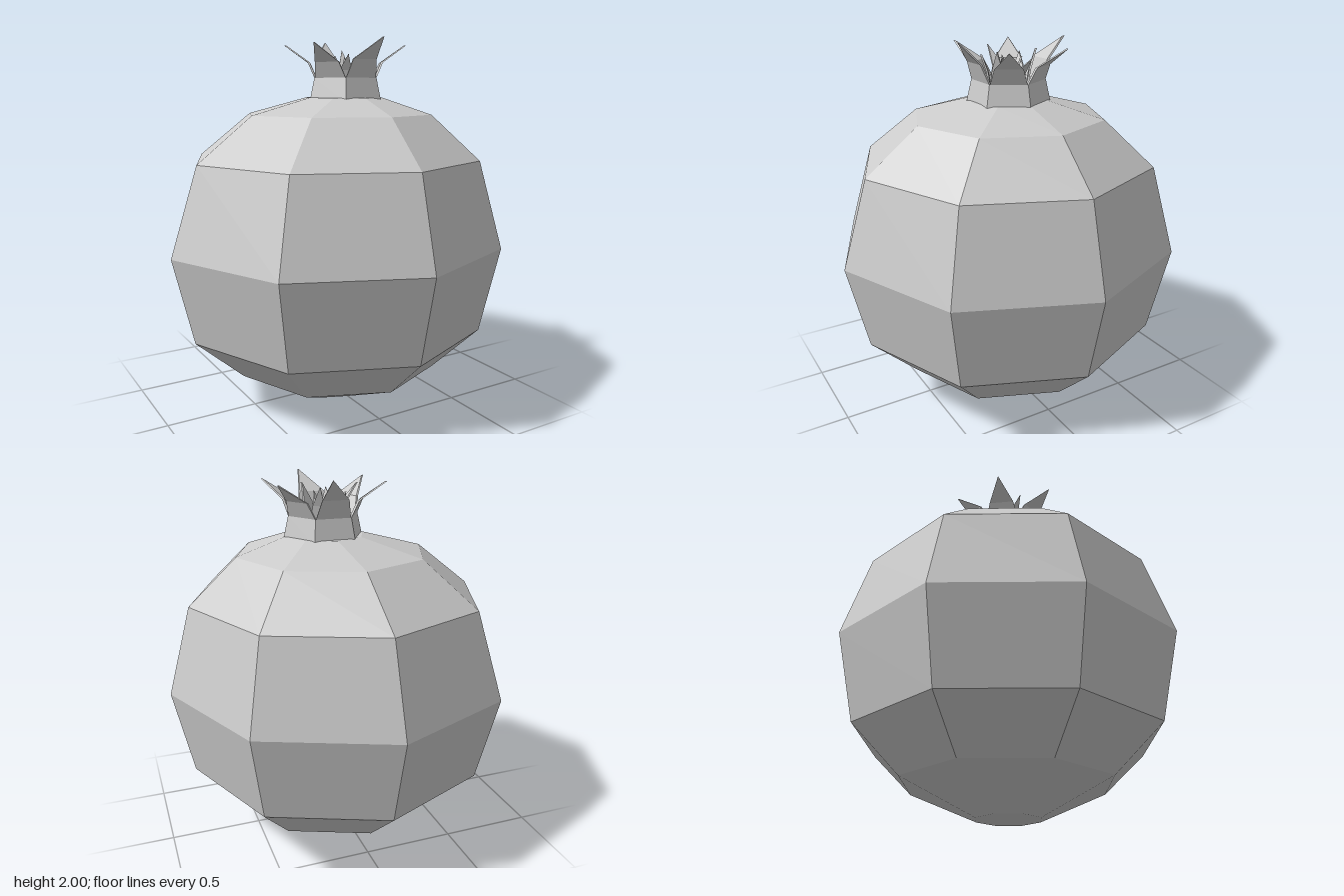
import * as THREE from 'three';

const material = new THREE.MeshStandardMaterial({ color: 0xcccccc, flatShading: true, side: THREE.DoubleSide });

function makeMesh(name, points, faces) {
  const indexed = new THREE.BufferGeometry();
  indexed.setAttribute('position', new THREE.Float32BufferAttribute(points.flat(), 3));
  indexed.setIndex(faces.flat());
  const geometry = indexed.toNonIndexed();
  geometry.computeVertexNormals();
  const mesh = new THREE.Mesh(geometry, material);
  mesh.name = name;
  return mesh;
}

// Skin horizontal rings [y, radius, centreX, centreZ], listed upward; both ends are closed on request
function loft(name, rings, sides, capBottom, capTop) {
  const points = [], faces = [];
  for (const [y, r, cx, cz] of rings) {
    for (let i = 0; i < sides; i++) {
      const a = (i / sides) * Math.PI * 2;
      points.push([cx + r * Math.cos(a), y, cz + r * Math.sin(a)]);
    }
  }
  for (let k = 0; k < rings.length - 1; k++) {
    for (let i = 0; i < sides; i++) {
      const j = (i + 1) % sides, lo = k * sides, hi = lo + sides;
      faces.push([lo + i, hi + i, hi + j], [lo + i, hi + j, lo + j]);
    }
  }
  const top = (rings.length - 1) * sides;
  for (let i = 1; i < sides - 1; i++) {
    if (capBottom) faces.push([0, i, i + 1]);
    if (capTop) faces.push([top, top + i + 1, top + i]);
  }
  return makeMesh(name, points, faces);
}

// Thin pointed leaf facing +z: wide base, shoulders, then a tip that leans outward
function leaf(name, { width, shoulder, base, mid, tip, height, skew, thick }) {
  const outline = [
    [-width, 0, base], [width, 0, base],
    [shoulder, height * 0.48, mid], [skew, height, tip], [-shoulder, height * 0.48, mid],
  ];
  const inner = outline.map(([x, y, z]) => [x * 0.96, y, z - thick]);
  const faces = [[0, 1, 2], [0, 2, 4], [4, 2, 3], [5, 7, 6], [5, 9, 7], [9, 8, 7]];
  for (let i = 0; i < 5; i++) {
    const j = (i + 1) % 5;
    faces.push([i, i + 5, j + 5], [i, j + 5, j]);
  }
  return makeMesh(name, [...outline, ...inner], faces);
}

export function createModel() {
  const model = new THREE.Group();
  model.name = 'pomegranate';

  // Eight-sided fruit, its top drifting slightly to the side
  model.add(loft('fruitBody', [
    [0, 0.18, 0, 0],
    [0.18, 0.58, 0.018, 0],
    [0.42, 0.837, 0.005, 0],
    [0.89, 0.943, 0, 0],
    [1.36, 0.803, 0.012, 0],
    [1.6, 0.52, 0.037, 0],
    [1.69, 0.215, 0.07, 0.01],
  ], 8, true, true));

  // Six-sided neck with a recessed floor
  const crown = new THREE.Group();
  crown.name = 'crown';
  crown.position.set(0.075, 0, 0.015);
  crown.add(loft('crownNeck', [[1.67, 0.222, 0, 0], [1.795, 0.193, 0, 0], [1.76, 0.165, 0, 0]], 6, false, true));

  // One outward-curving sepal on each side of the neck
  for (let i = 0; i < 6; i++) {
    const facesFront = i % 3 === 0;
    const sepal = leaf('sepal', {
      width: 0.095, shoulder: 0.072, base: 0.165, mid: 0.203,
      tip: facesFront ? 0.31 : 0.335, height: facesFront ? 0.21 : 0.18,
      skew: facesFront ? (i ? -0.05 : 0.045) : 0, thick: 0.012,
    });
    sepal.position.y = 1.79;
    sepal.rotation.y = i * Math.PI / 3;
    crown.add(sepal);
  }

  // Smaller inner spikes set behind the gaps between sepals
  for (let i = 0; i < 6; i++) {
    const spike = leaf('innerSpike', {
      width: 0.045, shoulder: 0.032, base: 0.1, mid: 0.115,
      tip: i % 3 === 1 ? 0.2 : 0.145, height: 0.19 - (i % 2) * 0.03, skew: 0.015, thick: 0.01,
    });
    spike.position.y = 1.76;
    spike.rotation.y = (i + 0.5) * Math.PI / 3;
    crown.add(spike);
  }

  // Short spikes at the centre
  for (let i = 0; i < 3; i++) {
    const spike = leaf('centreSpike', {
      width: 0.035, shoulder: 0.025, base: 0.03, mid: 0.045,
      tip: 0.07, height: 0.15, skew: 0.01, thick: 0.01,
    });
    spike.position.y = 1.76;
    spike.rotation.y = i * Math.PI * 2 / 3 + 0.4;
    crown.add(spike);
  }
  model.add(crown);
  return model;
}
